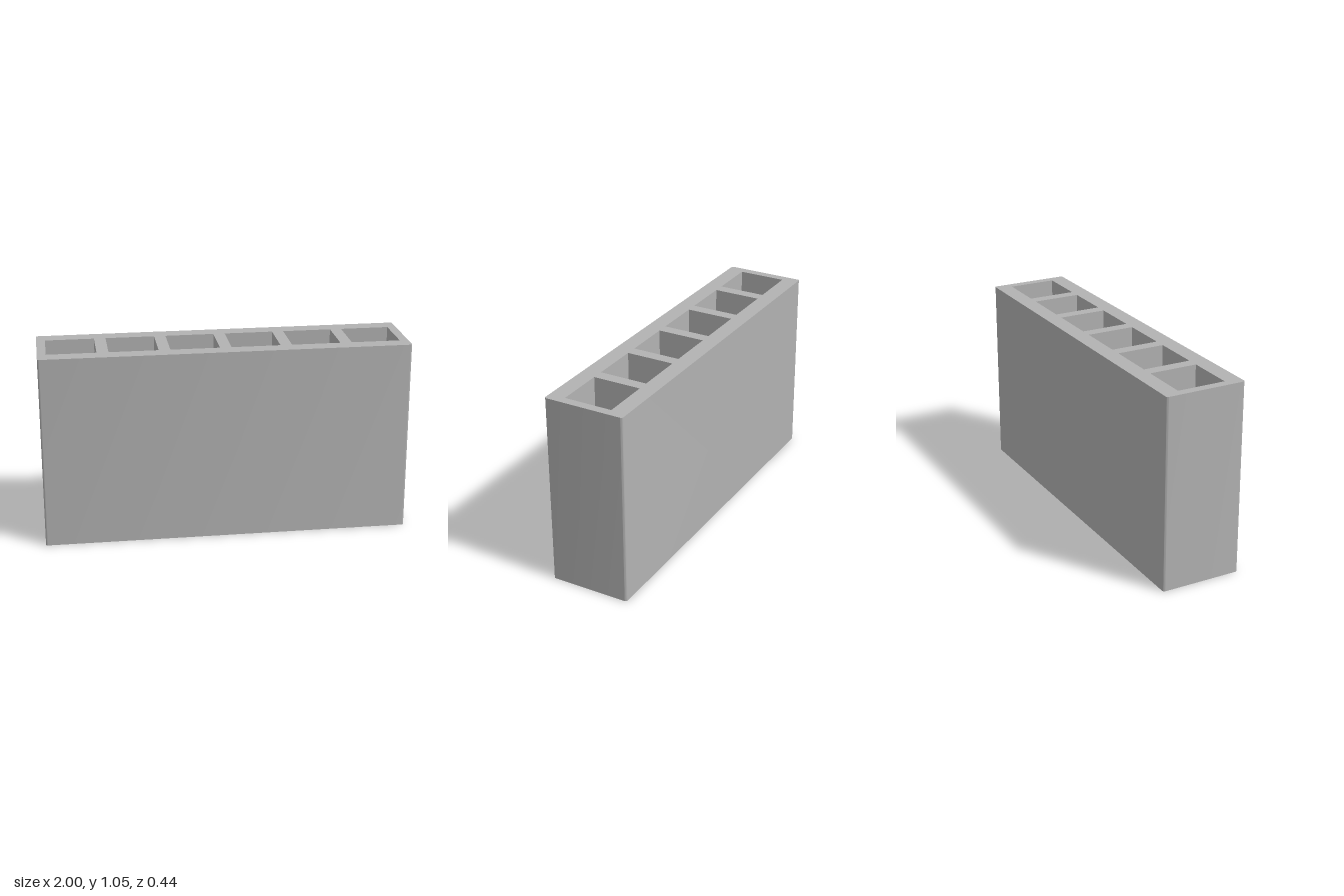
import * as THREE from 'three';
import { toCreasedNormals } from 'three/addons/utils/BufferGeometryUtils.js';

const HEIGHT = 1.055, HALF_X = 1, HALF_Z = 0.222, RADIUS = 0.012;
const CELL = 0.265, PITCH = 0.328, CELLS = 6, FLOOR = 0.06;

// Plan outline with rounded vertical corners, counter-clockwise
function blockOutline() {
  const s = new THREE.Shape(), x = HALF_X - RADIUS, z = HALF_Z - RADIUS;
  [[x, z], [-x, z], [-x, -z], [x, -z]].forEach(([cx, cy], i) =>
    s.absarc(cx, cy, RADIUS, i * Math.PI / 2, (i + 1) * Math.PI / 2, false));
  return s;
}

// Square cell outline, counter-clockwise
function cellPoints(cx) {
  const h = CELL / 2;
  return [[-h, -h], [h, -h], [h, h], [-h, h]].map(([x, y]) => new THREE.Vector2(cx + x, y));
}

// Vertical wall along a closed plan outline, facing outward if counter-clockwise
function wall(points, y0, y1) {
  const pos = [];
  points.forEach((p, i) => {
    const q = points[(i + 1) % points.length];
    if (p.distanceTo(q) < 1e-6) return;
    const a = [p.x, y0, -p.y], b = [q.x, y0, -q.y], c = [q.x, y1, -q.y], d = [p.x, y1, -p.y];
    pos.push(...a, ...b, ...c, ...a, ...c, ...d);
  });
  const g = new THREE.BufferGeometry();
  g.setAttribute('position', new THREE.Float32BufferAttribute(pos, 3));
  return toCreasedNormals(g, 0.6);
}

// Horizontal face at height y, facing up or down
function slab(shape, y, up = true) {
  const g = new THREE.ShapeGeometry(shape, 6);
  return g.rotateX(up ? -Math.PI / 2 : Math.PI / 2).translate(0, y, 0);
}

export function createModel() {
  const group = new THREE.Group();
  group.name = 'hollowBlock';
  const concrete = new THREE.MeshStandardMaterial({ color: 0xb2b2b2 });
  concrete.name = 'concrete grey';
  const add = (name, geometry) => {
    const mesh = new THREE.Mesh(geometry, concrete);
    mesh.name = name;
    group.add(mesh);
  };

  // Outer shell
  const outline = blockOutline();
  add('outerWalls', wall(outline.getPoints(6), 0, HEIGHT));
  add('underside', slab(outline, 0, false));

  // Blind cells, open at the top
  const top = blockOutline();
  for (let i = 0; i < CELLS; i++) {
    const pts = cellPoints((i - (CELLS - 1) / 2) * PITCH);
    const inward = [...pts].reverse();
    top.holes.push(new THREE.Path(inward));
    add(`cellWalls${i + 1}`, wall(inward, FLOOR, HEIGHT));
    add(`cellFloor${i + 1}`, slab(new THREE.Shape(pts), FLOOR));
  }
  add('topRim', slab(top, HEIGHT));

  return group;
}
